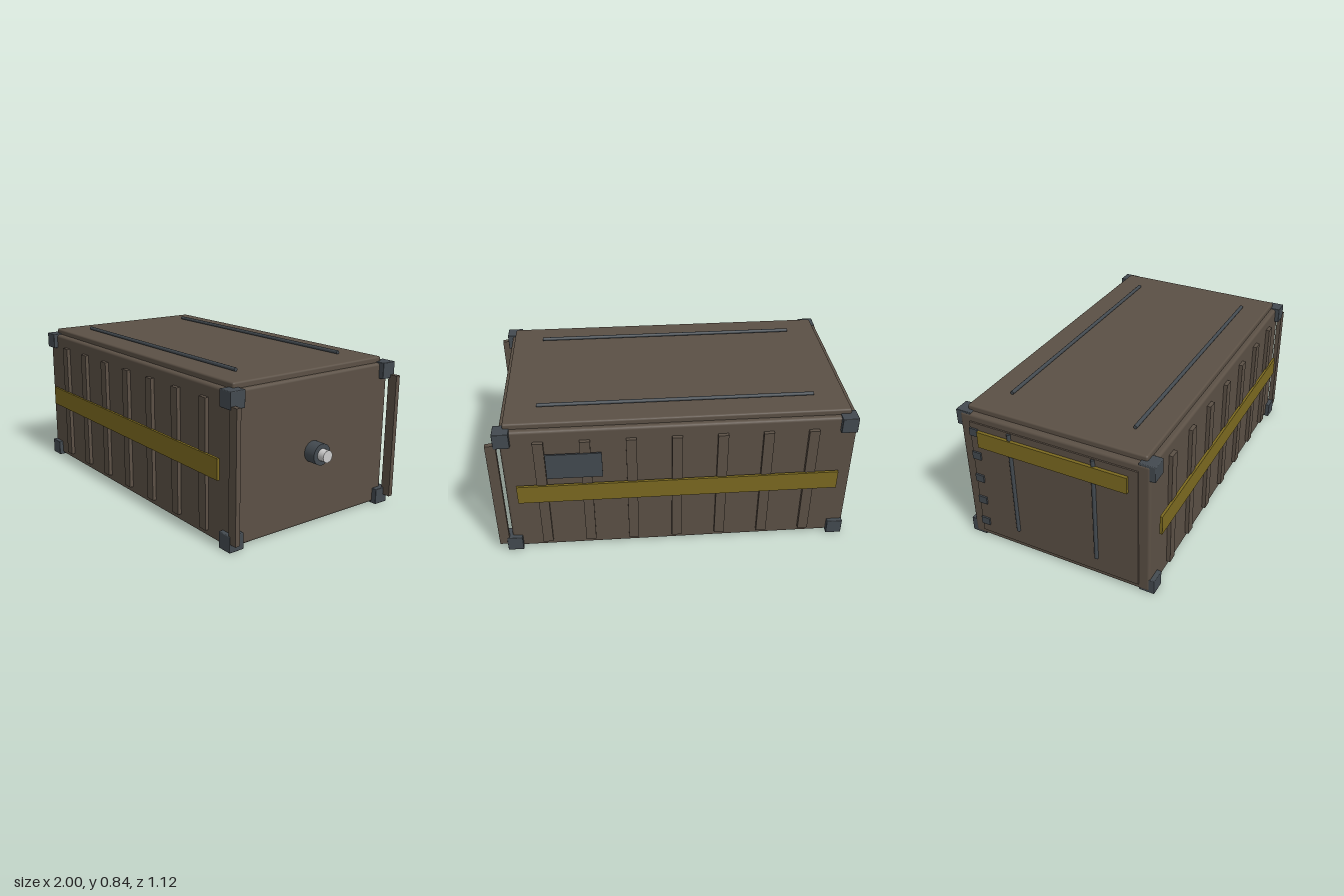
import * as THREE from 'three';
import { RoundedBoxGeometry } from 'three/addons/geometries/RoundedBoxGeometry.js';

const material = (name, color) => {
  const m = new THREE.MeshStandardMaterial({ color });
  m.name = name;
  return m;
};

export function createModel() {
  const group = new THREE.Group();
  const brown = material('brown paint', 0x5b5045);
  const steel = material('dark steel', 0x434a50);
  const yellow = material('yellow stripe', 0x7b6920);
  const light = material('light metal', 0xcccccc);

  const add = (name, geometry, mat, x, y, z) => {
    const mesh = new THREE.Mesh(geometry, mat);
    mesh.name = name;
    mesh.position.set(x, y, z);
    group.add(mesh);
    return mesh;
  };

  // Box given by its limits on each axis; bevel rounds the edges
  const box = (name, mat, [x0, x1], [y0, y1], [z0, z1], bevel = 0) => {
    const size = [x1 - x0, y1 - y0, z1 - z0];
    const geometry = bevel
      ? new RoundedBoxGeometry(...size, 2, bevel)
      : new THREE.BoxGeometry(...size);
    return add(name, geometry, mat, (x0 + x1) / 2, (y0 + y1) / 2, (z0 + z1) / 2);
  };

  // Cylinder lying along x
  const rod = (name, mat, radius, x0, x1, y, z, sides) => {
    const geometry = new THREE.CylinderGeometry(radius, radius, x1 - x0, sides).rotateZ(-Math.PI / 2);
    return add(name, geometry, mat, (x0 + x1) / 2, y, z);
  };

  // Container shell and raised roof
  box('body', brown, [-0.975, 0.892], [0.01, 0.795], [-0.53, 0.53], 0.015);
  box('roof', brown, [-0.943, 0.87], [0.775, 0.825], [-0.5, 0.5], 0.01);

  for (const side of [-1, 1]) {
    const span = (a, b) => [a * side, b * side].sort((p, q) => p - q);

    // Side ribs; the last one stands clear of the end wall
    for (let i = 0; i < 8; i++) {
      const x = -0.745 + i * 0.24;
      box('sideRib', brown, [x - 0.0275, x + 0.0275], [0.05, 0.73], span(0.525, 0.551));
    }
    box('sideStripe', yellow, [-0.9, 0.83], [0.348, 0.458], span(0.546, 0.56));
    rod('roofRail', steel, 0.01, -0.77, 0.7, 0.836, 0.35 * side, 10);

    // Corner castings
    for (const x of [[-0.972, -0.885], [0.835, 0.921]]) {
      for (const y of [[0.003, 0.09], [0.712, 0.8]]) {
        box('cornerCasting', steel, x, y, span(0.467, 0.554), 0.004);
      }
    }
    // Door locking bars
    add('lockingBar', new THREE.CylinderGeometry(0.011, 0.011, 0.62, 10), steel, -0.984, 0.44, 0.235 * side);
  }

  // Rear side plate
  box('sidePlate', steel, [0.37, 0.665], [0.505, 0.66], [-0.557, -0.548]);

  // Door end with stripe and hinges
  box('door', brown, [-0.983, -0.96], [0.045, 0.755], [-0.47, 0.47]);
  box('doorStripe', yellow, [-1, -0.977], [0.622, 0.715], [-0.42, 0.42]);
  for (let i = 0; i < 5; i++) {
    const y = 0.12 + i * 0.145;
    box('doorHinge', steel, [-0.992, -0.96], [y - 0.022, y + 0.022], [-0.47, -0.42]);
  }

  // Pipe fitting on the end wall
  rod('fittingCollar', steel, 0.057, 0.88, 0.96, 0.4, 0, 20);
  rod('fittingNozzle', light, 0.032, 0.94, 1, 0.4, 0, 16);

  return group;
}
